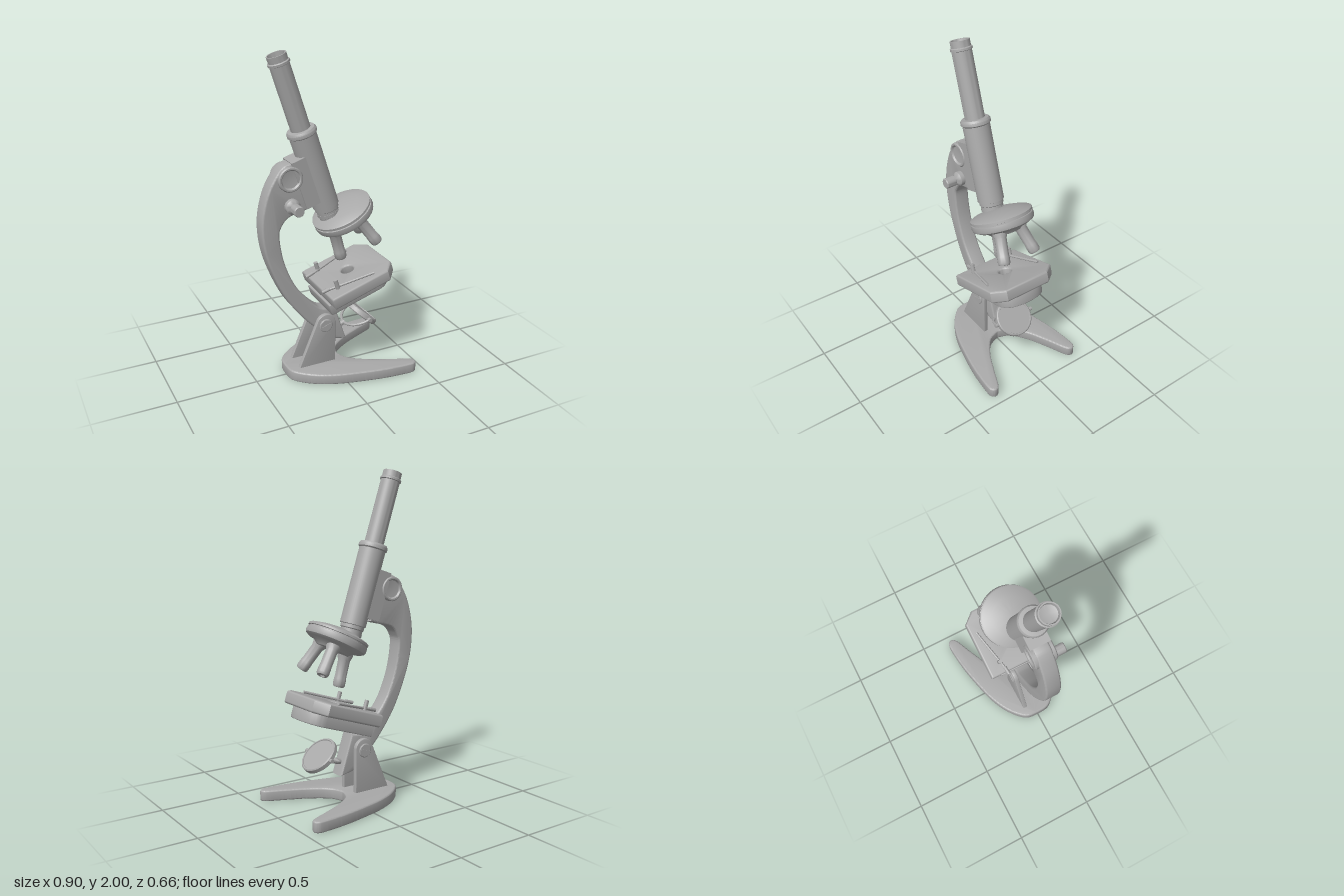
import * as THREE from 'three';
import { toCreasedNormals } from 'three/addons/utils/BufferGeometryUtils.js';

const metal = new THREE.MeshStandardMaterial({ color: 0xa8a8a8 });
metal.name = 'grey metal';

const V = (x, y, z = 0) => new THREE.Vector3(x, y, z);
const pts = (list) => list.map(([x, y]) => new THREE.Vector2(x, y));

function add(parent, name, geometry, x = 0, y = 0, z = 0) {
  const mesh = new THREE.Mesh(toCreasedNormals(geometry, 0.6), metal);
  mesh.name = name;
  mesh.position.set(x, y, z);
  parent.add(mesh);
  return mesh;
}

const lathe = (profile, sides = 40) => new THREE.LatheGeometry(pts(profile), sides);

// Slab of a given total thickness with bevelled edges that stay inside the outline
function slab(shape, thickness, bevel) {
  const geo = new THREE.ExtrudeGeometry(shape, {
    depth: thickness - 2 * bevel, bevelEnabled: true, bevelSize: bevel,
    bevelThickness: bevel, bevelOffset: -bevel, bevelSegments: 3, curveSegments: 20,
  });
  return geo.translate(0, 0, bevel);
}

// Turned part whose profile starts at p and runs toward q
function turned(parent, name, p, q, profile, sides = 24) {
  const mesh = add(parent, name, lathe(profile, sides), p.x, p.y, p.z);
  mesh.quaternion.setFromUnitVectors(V(0, 1, 0), q.clone().sub(p).normalize());
  return mesh;
}

function rod(parent, name, p, q, r) {
  const l = p.distanceTo(q);
  return turned(parent, name, p, q, [[0, 0], [r, 0], [r, l], [0, l]], 14);
}

export function createModel() {
  const model = new THREE.Group();
  model.name = 'microscope';

  // Horseshoe foot
  const foot = new THREE.Shape();
  foot.moveTo(-0.31, 0);
  foot.splineThru(pts([[-0.295, 0.09], [-0.2, 0.18], [-0.08, 0.24], [0.06, 0.28], [0.23, 0.315], [0.39, 0.331],
    [0.435, 0.323], [0.447, 0.295], [0.42, 0.265], [0.305, 0.215], [0.18, 0.155], [0.08, 0.08], [0.045, 0]]));
  foot.splineThru(pts([[0.08, -0.08], [0.18, -0.155], [0.305, -0.215], [0.42, -0.265], [0.447, -0.295],
    [0.435, -0.323], [0.39, -0.331], [0.23, -0.315], [0.06, -0.28], [-0.08, -0.24], [-0.2, -0.18],
    [-0.295, -0.09], [-0.31, 0]]));
  add(model, 'foot', slab(foot, 0.068, 0.01).rotateX(-Math.PI / 2));

  // Pair of uprights with slotted pivot screws
  const upright = new THREE.Shape();
  upright.moveTo(-0.245, 0.06);
  upright.lineTo(0, 0.06);
  upright.lineTo(0, 0.335);
  upright.absarc(-0.062, 0.335, 0.062, 0, Math.PI * 0.87, false);
  upright.closePath();
  for (const s of [1, -1]) {
    add(model, 'upright', slab(upright, 0.027, 0.003), 0, 0, s > 0 ? 0.05 : -0.077);
    turned(model, 'pivotScrew', V(-0.065, 0.325, s * 0.07), V(-0.065, 0.325, s),
      [[0, 0], [0.043, 0], [0.043, 0.011], [0.038, 0.015], [0, 0.015]]);
    const slot = add(model, 'screwSlot', new THREE.BoxGeometry(0.07, 0.008, 0.004), -0.065, 0.325, s * 0.086);
    slot.rotation.z = 0.3;
  }

  // Curved limb with its tailpiece
  const limb = new THREE.Shape();
  limb.moveTo(-0.215, 1.385);
  limb.splineThru(pts([[-0.31, 1.365], [-0.385, 1.27], [-0.43, 1.155], [-0.45, 1.02], [-0.435, 0.865],
    [-0.385, 0.705], [-0.305, 0.535], [-0.2, 0.39], [-0.125, 0.31]]));
  limb.lineTo(-0.07, 0.26);
  limb.lineTo(0, 0.2);
  limb.lineTo(0.09, 0.182);
  limb.lineTo(0.01, 0.428);
  limb.lineTo(-0.045, 0.422);
  limb.splineThru(pts([[-0.1, 0.445], [-0.175, 0.52], [-0.255, 0.63], [-0.317, 0.785], [-0.343, 0.945],
    [-0.328, 1.01], [-0.28, 1.06], [-0.185, 1.085]]));
  limb.lineTo(-0.125, 1.105);
  limb.closePath();
  add(model, 'limb', slab(limb, 0.1, 0.012), 0, 0, -0.05);

  // Coarse focus knobs with dished faces
  for (const s of [1, -1]) {
    turned(model, 'coarseKnob', V(-0.275, 1.292, s * 0.035), V(-0.275, 1.292, s),
      [[0, 0], [0.068, 0], [0.075, 0.006], [0.075, 0.03], [0.069, 0.036], [0.06, 0.036], [0.052, 0.026], [0, 0.02]], 32);
  }

  // Fine focus knob on one side only
  turned(model, 'fineKnob', V(-0.267, 1.13, 0.045), V(-0.267, 1.13, 1),
    [[0, 0], [0.045, 0], [0.045, 0.03], [0.036, 0.04], [0.02, 0.048], [0.02, 0.053], [0.031, 0.058],
      [0.032, 0.115], [0.028, 0.12], [0, 0.12]]);

  // Everything that follows the inclined optical axis
  const tilted = new THREE.Group();
  tilted.name = 'inclinedBody';
  tilted.rotation.z = Math.PI / 10;
  model.add(tilted);
  const axis = 0.308;

  add(tilted, 'focusSlide', new THREE.BoxGeometry(0.1, 0.3, 0.13), axis - 0.085, 1.25, 0);

  add(tilted, 'bodySleeve', lathe([[0, 1.0], [0.066, 1.0], [0.066, 1.015], [0.072, 1.02], [0.072, 1.04],
    [0.079, 1.043], [0.08, 1.505], [0.088, 1.512], [0.088, 1.53], [0.08, 1.542], [0.055, 1.544]]), axis);

  add(tilted, 'drawTubeAndEyepiece', lathe([[0.058, 1.53], [0.058, 1.93], [0.064, 1.933], [0.064, 1.945],
    [0.057, 1.95], [0.057, 1.987], [0.05, 1.987], [0.046, 1.96], [0, 1.95]]), axis);

  add(tilted, 'nosepieceNeck', lathe([[0, 0.93], [0.06, 0.93], [0.06, 0.975], [0.068, 0.98], [0.068, 1.0], [0, 1.0]]), axis);

  // Stage plate with clipped front corners and a light hole
  const plate = new THREE.Shape(pts([[0.09, -0.225], [0.475, -0.225], [0.54, -0.15], [0.54, 0.15],
    [0.475, 0.225], [0.09, 0.225]]));
  const hole = () => new THREE.Path().absarc(axis, 0, 0.04, 0, Math.PI * 2, true);
  plate.holes.push(hole());
  add(tilted, 'stagePlate', slab(plate, 0.076, 0.012).rotateX(-Math.PI / 2), 0, 0.494, 0);

  // Rounded block beneath the stage
  const block = new THREE.Shape();
  block.moveTo(0.078, -0.155);
  block.lineTo(0.42, -0.155);
  block.bezierCurveTo(0.495, -0.15, 0.525, -0.08, 0.525, 0);
  block.bezierCurveTo(0.525, 0.08, 0.495, 0.15, 0.42, 0.155);
  block.lineTo(0.078, 0.155);
  block.closePath();
  block.holes.push(hole());
  add(tilted, 'stageBlock', slab(block, 0.074, 0.006).rotateX(-Math.PI / 2), 0, 0.424, 0);

  // Slide clips
  for (const s of [1, -1]) {
    rod(tilted, 'clipEnd', V(0.074, 0.583, s * 0.117), V(0.125, 0.583, s * 0.122), 0.011);
    rod(tilted, 'clipArm', V(0.12, 0.581, s * 0.122), V(0.4, 0.578, s * 0.187), 0.008);
    rod(tilted, 'clipPost', V(0.17, 0.56, s * 0.14), V(0.17, 0.632, s * 0.14), 0.013);
  }

  // Revolving nosepiece
  const nose = add(model, 'nosepiece', lathe([[0, -0.105], [0.1, -0.105], [0.125, -0.08], [0.165, -0.072],
    [0.185, -0.06], [0.19, -0.045], [0.188, -0.022], [0.18, -0.02], [0.18, -0.014], [0.188, -0.012],
    [0.188, 0], [0.178, 0.006], [0.12, 0.022], [0.06, 0.032], [0, 0.034]], 48), 0.071, 1.04, 0);
  nose.rotation.z = 0.48;

  // Three objectives
  const objective = [[0, 0], [0.05, 0], [0.046, 0.025], [0.036, 0.05], [0.035, 0.15], [0.037, 0.16],
    [0.037, 0.198], [0.03, 0.21], [0.018, 0.212], [0.014, 0.204], [0, 0.204]];
  turned(model, 'objective', V(0.022, 0.925), V(0.076, 0.72), objective);
  for (const s of [1, -1]) {
    turned(model, 'objective', V(0.145, 0.998, s * 0.065), V(0.266, 0.83, s * 0.113), objective);
  }

  // Mirror disc on its half-ring fork
  const centre = V(0.213, 0.322);
  const facing = V(0.67, 0.74);
  turned(model, 'mirror', centre.clone().addScaledVector(facing, -0.018), centre.clone().addScaledVector(facing, 1),
    [[0, 0], [0.112, 0], [0.119, 0.006], [0.119, 0.03], [0.113, 0.036], [0.106, 0.036], [0.104, 0.031], [0, 0.031]], 40);
  const fork = new THREE.Group();
  fork.name = 'mirrorFork';
  fork.position.copy(centre);
  fork.rotation.z = 0.39;
  model.add(fork);
  add(fork, 'forkRing', new THREE.TorusGeometry(0.127, 0.009, 10, 32, Math.PI)
    .rotateZ(Math.PI / 2).rotateX(Math.PI / 2));
  for (const s of [1, -1]) rod(fork, 'mirrorPivot', V(0, 0, s * 0.11), V(0, 0, s * 0.14), 0.012);
  rod(fork, 'mirrorStem', V(-0.175, 0, 0), V(-0.122, 0, 0), 0.015);

  return model;
}
